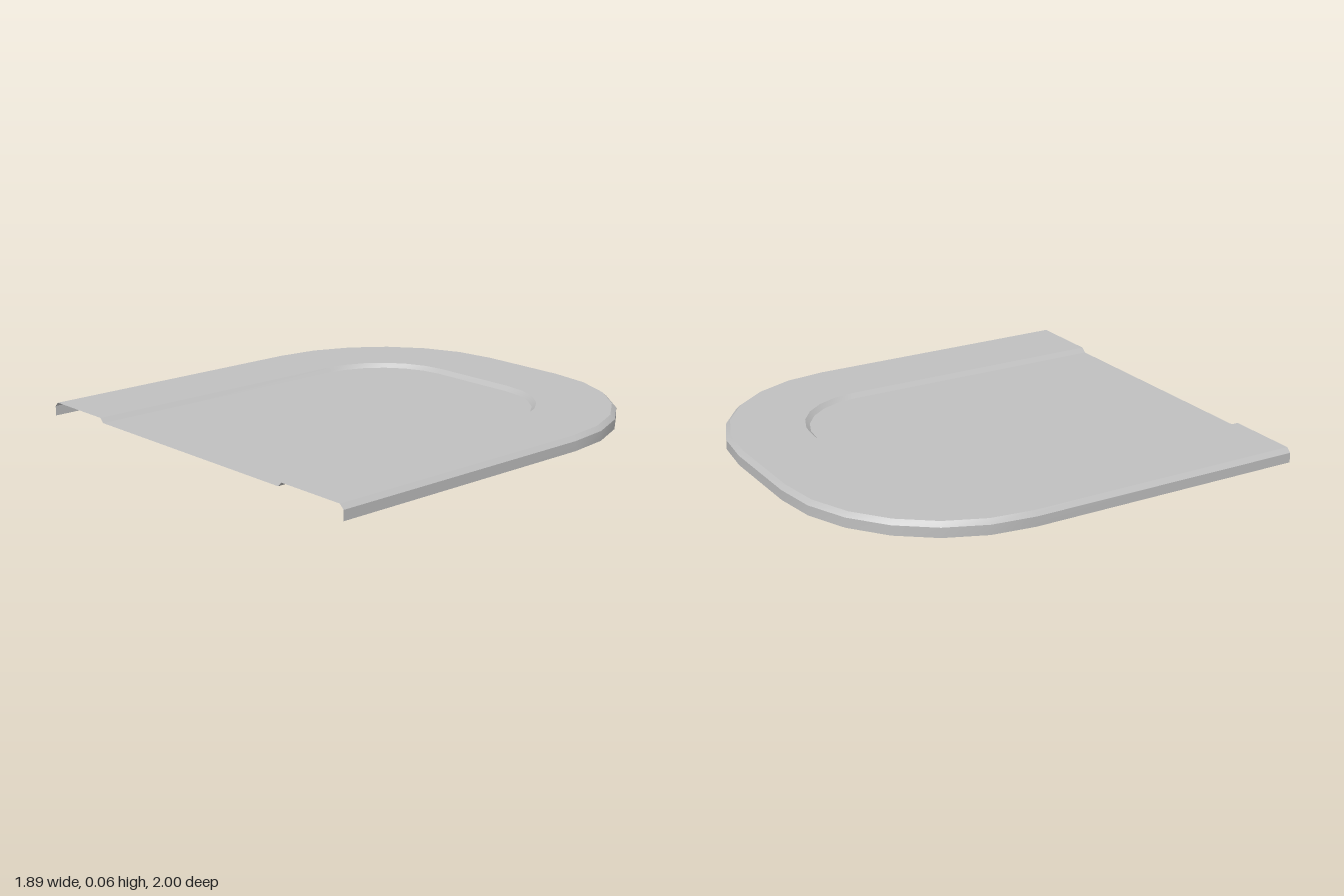
import * as THREE from 'three';

const CORNER_X = 0.21, CORNER_Z = -0.265, FRONT_Z = 1, STEPS = 6;

// Arch outline from right front, round the back, to left front; r is the corner radius
function archOutline(r) {
  const right = [[CORNER_X + r, FRONT_Z]];
  for (let i = 0; i <= STEPS; i++) {
    const a = (i / STEPS) * Math.PI / 2;
    right.push([CORNER_X + r * Math.cos(a), CORNER_Z - r * Math.sin(a)]);
  }
  const left = right.map(([x, z]) => [-x, z]).reverse();
  return [...right, ...left];
}

// Band joining two arch outlines of different radius and height
function archBand([r0, y0], [r1, y1]) {
  const lower = archOutline(r0), upper = archOutline(r1);
  const n = lower.length, positions = [], index = [];
  for (let i = 0; i < n; i++) {
    positions.push(lower[i][0], y0, lower[i][1], upper[i][0], y1, upper[i][1]);
    if (i < n - 1) {
      const a = 2 * i;
      index.push(a, a + 2, a + 3, a, a + 3, a + 1);
    }
  }
  const geometry = new THREE.BufferGeometry();
  geometry.setAttribute('position', new THREE.Float32BufferAttribute(positions, 3));
  geometry.setIndex(index);
  geometry.computeVertexNormals();
  return geometry;
}

export function createModel() {
  const group = new THREE.Group();
  group.name = 'archedTray';
  const grey = new THREE.MeshStandardMaterial({ color: 0xc0c0c0, side: THREE.DoubleSide });
  grey.name = 'light grey';

  const add = (name, geometry) => {
    const mesh = new THREE.Mesh(geometry, grey);
    mesh.name = name;
    group.add(mesh);
    return mesh;
  };

  // Cross-section of the shell: [corner radius, height], from the outer foot inwards
  const profile = [[0.735, 0], [0.735, 0.043], [0.715, 0.062], [0.387, 0.062], [0.367, 0.043]];
  const names = ['outerSkirt', 'outerBevel', 'raisedRim', 'innerBevel'];
  names.forEach((name, i) => add(name, archBand(profile[i], profile[i + 1])));

  // Sunken floor, closing the inside of the arch
  const [floorRadius, floorY] = profile[4];
  const shape = new THREE.Shape(archOutline(floorRadius).map(([x, z]) => new THREE.Vector2(x, -z)));
  const floor = new THREE.ShapeGeometry(shape);
  floor.rotateX(-Math.PI / 2);
  floor.translate(0, floorY, 0);
  add('sunkenFloor', floor);

  return group;
}
